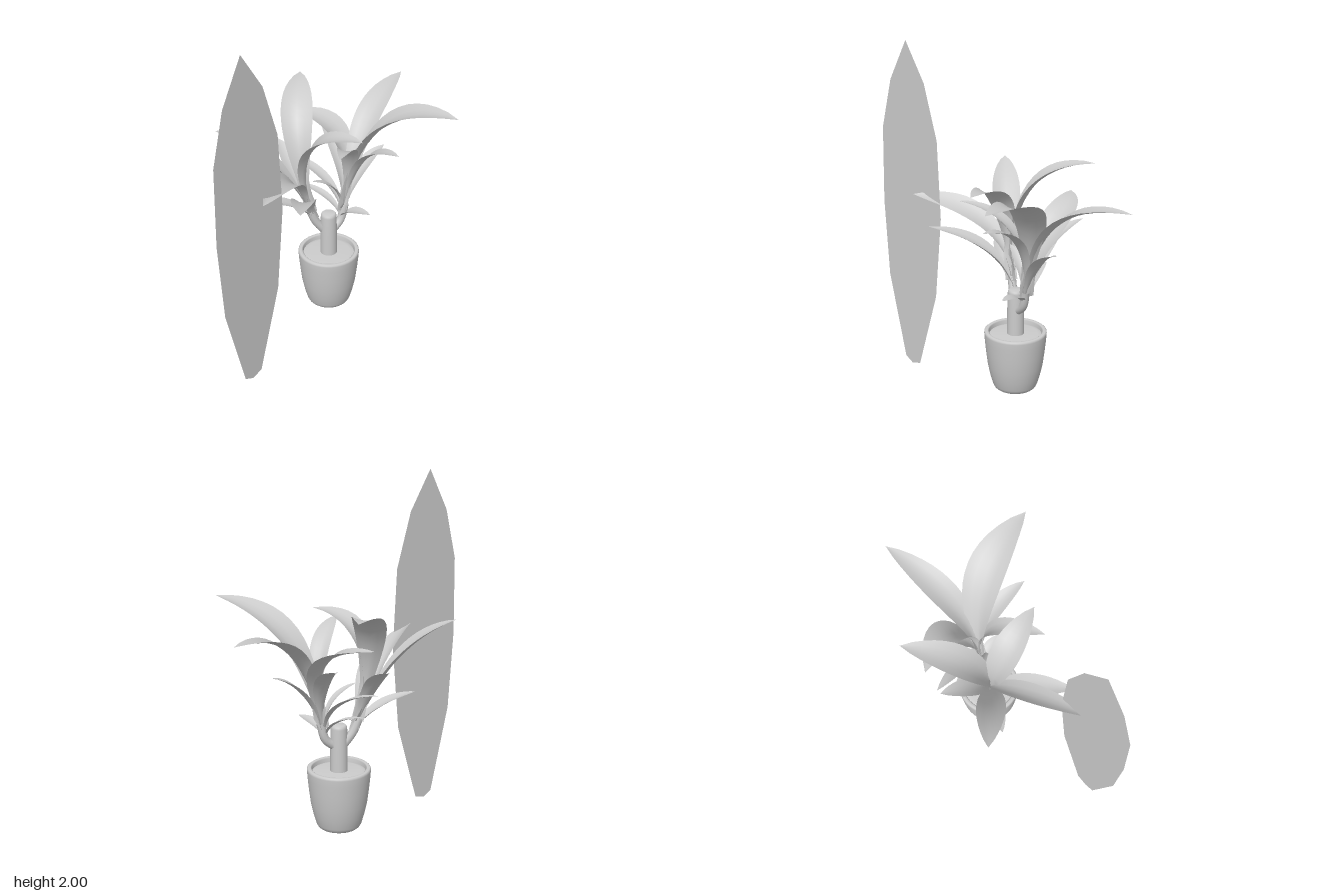
import * as THREE from 'three';

const grey = new THREE.MeshStandardMaterial({ color: 0xcccccc, side: THREE.DoubleSide });
const V = (x, y, z) => new THREE.Vector3(x, y, z);
const CX = 0.123, CZ = -0.105;

function add(parent, name, geometry) {
  const mesh = new THREE.Mesh(geometry, grey);
  mesh.name = name;
  parent.add(mesh);
  return mesh;
}

function lathe(points, segments) {
  return new THREE.LatheGeometry(points.map(([r, y]) => new THREE.Vector2(r, y)), segments);
}

// Arching leaf blade: follows the shoot from base towards the crown, then bends out to tip.
// arch 0 = nearly straight, 1 = strongly bowed; roll tilts the blade about its length;
// bend bows it sideways
function leafGeometry(base, crown, tip, width, arch, roll, bend) {
  const mix = (a, b) => a + (b - a) * arch;
  const rise = tip.y - base.y;
  const lean = Math.min(1, rise * mix(0.4, 0.68) / (crown.y - base.y));
  const p1 = base.clone().lerp(crown, lean).lerp(tip, mix(0.12, 0));
  p1.y = base.y + rise * mix(0.4, 0.68);
  const p2 = p1.clone().lerp(tip, mix(0.45, 0.3));
  p2.y = base.y + rise * mix(0.8, 1.04);
  const out = tip.clone().sub(p1).setY(0).normalize();
  const side = V(out.z, 0, -out.x);
  p2.addScaledVector(side, bend);
  side.applyAxisAngle(out, roll);
  const curve = new THREE.CubicBezierCurve3(base, p1, p2, tip);
  const geo = new THREE.PlaneGeometry(1, 1, 4, 16);
  const pos = geo.attributes.position;
  for (let i = 0; i < pos.count; i++) {
    const s = pos.getX(i) * 2, t = pos.getY(i) + 0.5;
    const p = curve.getPoint(t);
    const normal = curve.getTangent(t).cross(side).normalize();
    if (normal.y < 0) normal.negate();
    const swell = Math.pow(Math.max(0, Math.sin(Math.PI * Math.pow(t, 1.4))), 0.8);
    const half = width / 2 * Math.max(swell, t < 0.5 ? 0.38 : 0);
    const fold = 0.55 - 0.4 * t;
    p.addScaledVector(side, s * half).addScaledVector(normal, s * s * half * fold);
    pos.setXYZ(i, p.x, p.y, p.z);
  }
  geo.computeVertexNormals();
  return geo;
}

// Each leaf: tip x, y, z, blade width, arch, foot position along the stem (0 to 1), roll, bend
const leftLeaves = [
  [-0.36, 1.28, -0.51, 0.16, 0.25, 0.8],
  [-0.565, 1.12, 0.04, 0.15, 0.85, 0.7, -0.45],
  [-0.355, 0.99, 0.11, 0.14, 0.35, 0.2],
  [0.065, 1.28, 0.19, 0.17, 1.0, 0.7],
  [0.34, 1.38, -0.51, 0.18, 0.85, 0.8],
  [0.09, 1.06, -0.467, 0.11, 0.3, 0.3],
  [-0.25, 0.85, -0.32, 0.1, 0.25, 0],
];
const rightLeaves = [
  [0.868, 1.29, -0.18, 0.16, 0.85, 0.7],
  [0.49, 1.36, 0.508, 0.22, 0.9, 0.7, 0, 0.09],
  [0.195, 1.2, -0.475, 0.18, 0.8, 0.7, 0, -0.15],
  [0.37, 1.1, -0.38, 0.1, 0.4, 0.5],
  [0.505, 1.01, -0.01, 0.1, 0.35, 0.2],
  [0.255, 1.15, 0.29, 0.11, 0.75, 0.5],
  [-0.075, 1.22, 0.145, 0.11, 0.75, 0.6],
  [0.03, 0.92, -0.15, 0.06, 0.4, 0.2],
  [0.15, 0.945, -0.45, 0.08, 0.3, 0.2],
  [0.23, 0.71, 0.115, 0.08, 0.6, 0],
  [0.14, 0.79, -0.34, 0.06, 0.3, 0],
];

function shoot(name, stemPoints, crown, leaves) {
  const group = new THREE.Group();
  group.name = name;
  const [, foot, top] = stemPoints;
  const stem = new THREE.CatmullRomCurve3(stemPoints);
  add(group, 'shootStem', new THREE.TubeGeometry(stem, 12, 0.024, 10, false));
  for (const [x, y, z, width, arch, along, roll = 0, bend = 0] of leaves) {
    const base = foot.clone().lerp(top, along);
    add(group, 'leaf', leafGeometry(base, crown, V(x, y, z), width, arch, roll, bend));
  }
  return group;
}

export function createModel() {
  const model = new THREE.Group();
  model.name = 'pottedPlant';

  // Pot with rounded foot, rolled rim and hollow inside
  const pot = add(model, 'pot', lathe([
    [0, 0.08], [0.098, 0.08], [0.11, 0.083], [0.12, 0.092], [0.128, 0.108], [0.143, 0.16],
    [0.158, 0.23], [0.168, 0.31], [0.175, 0.38], [0.178, 0.42], [0.177, 0.43],
    [0.171, 0.435], [0.157, 0.435], [0.151, 0.43], [0.149, 0.39],
  ], 40));
  const soil = add(model, 'soil', lathe([[0.15, 0.408], [0.125, 0.416], [0, 0.418]], 32));
  // Cut trunk with a softened top
  const trunk = add(model, 'trunk', lathe([
    [0.049, 0.4], [0.048, 0.55], [0.046, 0.665], [0.043, 0.678], [0.036, 0.685], [0, 0.686],
  ], 24));
  for (const part of [pot, soil, trunk]) part.position.set(CX, 0, CZ);

  // Two leafy shoots growing from the trunk
  model.add(shoot('leftwardShoot',
    [V(0.11, 0.56, -0.12), V(0.06, 0.64, -0.15), V(0.03, 0.72, -0.167)],
    V(-0.055, 1, -0.21), leftLeaves));
  model.add(shoot('rightwardShoot',
    [V(0.13, 0.55, -0.1), V(0.2, 0.61, -0.083), V(0.228, 0.71, -0.073)],
    V(0.285, 1, -0.06), rightLeaves));

  // Flat upright leaf-shaped panel standing beside the plant
  const outline = [
    [-0.647, 2], [-0.784, 1.755], [-0.863, 1.458], [-0.87, 1], [-0.836, 0.537], [-0.705, 0.03],
    [-0.647, 0], [-0.578, 0.02], [-0.425, 0.505], [-0.375, 1], [-0.4, 1.46], [-0.5, 1.775],
  ].map(([x, y]) => new THREE.Vector2(x, y));
  add(model, 'flatPanel', new THREE.ShapeGeometry(new THREE.Shape(outline)));

  return model;
}
